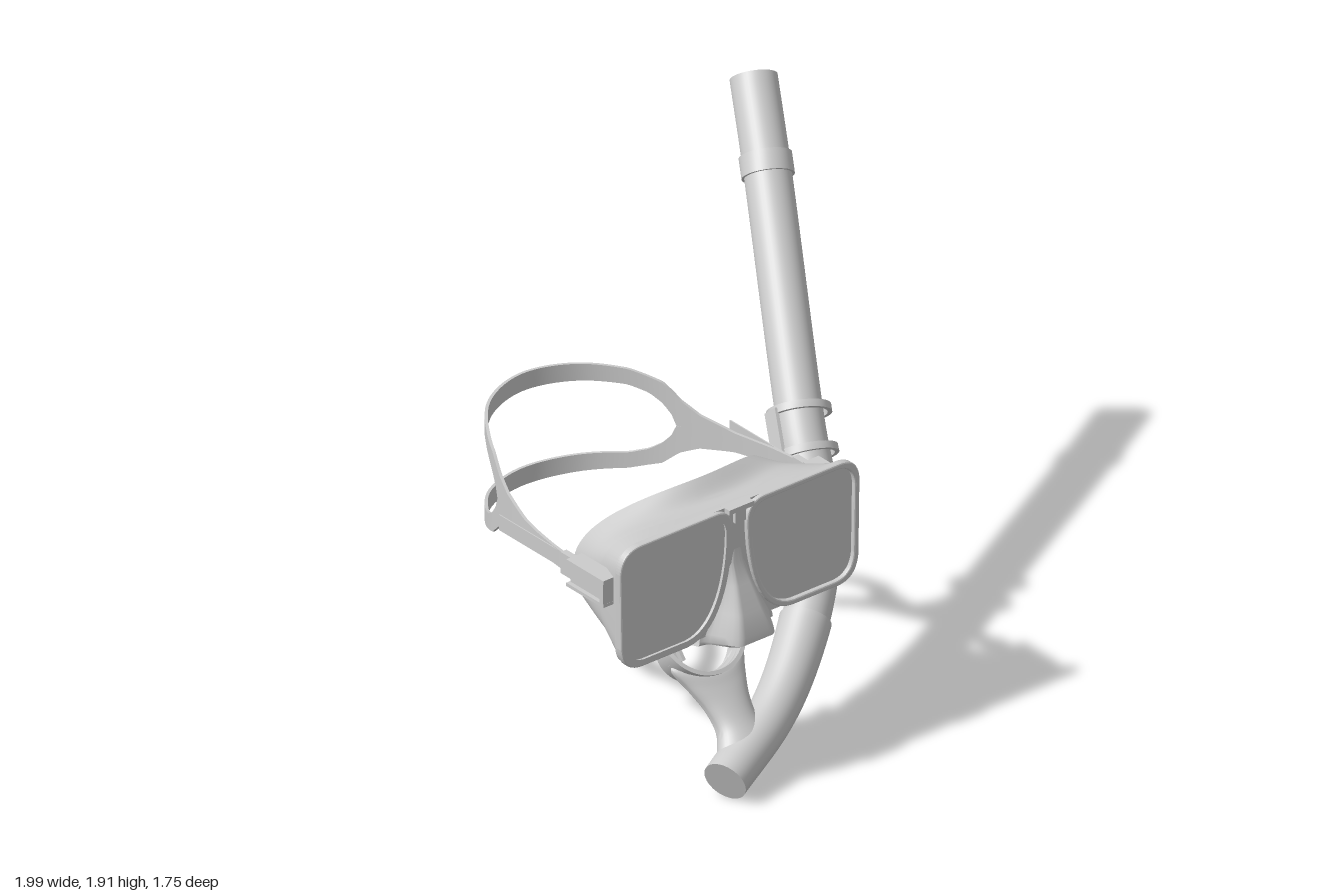
import * as THREE from 'three';
import { toCreasedNormals } from 'three/addons/utils/BufferGeometryUtils.js';

const V = (x, y, z) => new THREE.Vector3(x, y, z);
const material = new THREE.MeshStandardMaterial({ color: 0xcccccc, side: THREE.DoubleSide });

function add(parent, name, geometry, x = 0, y = 0, z = 0) {
  const mesh = new THREE.Mesh(geometry, material);
  mesh.name = name;
  mesh.position.set(x, y, z);
  parent.add(mesh);
  return mesh;
}

// Skin over a list of cross-sections (arrays of Vector3); closed joins each section's ends
function loft(rings, closed = true, crease = 0.6) {
  const n = rings[0].length, pos = [], index = [];
  rings.forEach(r => r.forEach(p => pos.push(p.x, p.y, p.z)));
  for (let j = 0; j < rings.length - 1; j++)
    for (let i = 0; i < (closed ? n : n - 1); i++) {
      const a = j * n + i, b = j * n + (i + 1) % n;
      index.push(a, b, b + n, a, b + n, a + n);
    }
  const g = new THREE.BufferGeometry();
  g.setAttribute('position', new THREE.Float32BufferAttribute(pos, 3));
  g.setIndex(index);
  return toCreasedNormals(g, crease);
}

// Smooth in-between cross-sections
function refine(rings, steps) {
  const columns = rings[0].map((_, i) => new THREE.CatmullRomCurve3(rings.map(r => r[i])).getPoints(steps));
  return columns[0].map((_, j) => columns.map(c => c[j]));
}

const fill = p => rings => [rings[0].map(() => p), ...rings];

// Value of a piecewise linear table [[x, y], ...] with x ascending
function table(rows, x) {
  if (x <= rows[0][0]) return rows[0][1];
  for (let i = 1; i < rows.length; i++) {
    const [x0, y0] = rows[i - 1], [x1, y1] = rows[i];
    if (x <= x1) return y0 + (y1 - y0) * (x - x0) / (x1 - x0);
  }
  return rows[rows.length - 1][1];
}

// Superellipse mask section; z bends from the middle to the sides
function maskSection(hw, y0, y1, zMid, zSide, e) {
  const pow = v => Math.sign(v) * Math.abs(v) ** (2 / e);
  return Array.from({ length: 112 }, (_, i) => {
    const a = i / 112 * Math.PI * 2, u = pow(Math.cos(a));
    return V(hw * u, (y0 + y1) / 2 + (y1 - y0) / 2 * pow(Math.sin(a)), zMid + (zSide - zMid) * u * u);
  });
}

// Lens outline, scaled by k about its centre, on either side
function lensPoints(side, k) {
  const s = new THREE.Shape();
  s.moveTo(0.25, 0.647).lineTo(0.47, 0.647);
  s.quadraticCurveTo(0.56, 0.65, 0.57, 0.75).lineTo(0.575, 1.07);
  s.quadraticCurveTo(0.57, 1.16, 0.48, 1.165).lineTo(0.11, 1.165);
  s.quadraticCurveTo(0.03, 1.16, 0.035, 1.06);
  s.bezierCurveTo(0.04, 0.86, 0.1, 0.655, 0.25, 0.647);
  return s.getPoints(14).map(p => new THREE.Vector2(side * (0.305 + (p.x - 0.305) * k), 0.907 + (p.y - 0.907) * k));
}

const extrude = (shape, depth, bevel = 0) => new THREE.ExtrudeGeometry(shape, {
  depth, bevelEnabled: bevel > 0, bevelSize: bevel, bevelThickness: bevel, bevelOffset: -bevel, bevelSegments: 2 });

function buildMask() {
  const mask = new THREE.Group();
  mask.name = 'mask';

  // Frame body, flared face skirt and its inner wall
  const front = maskSection(0.57, 0.65, 1.165, 0.67, 0.665, 8);
  const seam = maskSection(0.515, 0.655, 1.145, 0.61, 0.5, 4.5);
  add(mask, 'frameBody', loft([front, seam]));
  const rim = maskSection(0.457, 0.565, 1.2, 0.48, 0.27, 2.2);
  add(mask, 'skirt', loft(refine([seam, maskSection(0.492, 0.63, 1.148, 0.55, 0.4, 3.2), rim], 12)));
  add(mask, 'innerSkirt', loft(refine([rim, maskSection(0.405, 0.635, 1.12, 0.49, 0.33, 2.4),
    maskSection(0.44, 0.655, 1.125, 0.55, 0.45, 3), maskSection(0.54, 0.665, 1.15, 0.655, 0.655, 6)], 16)));

  // Front plate with openings for lenses and nose
  const plate = new THREE.Shape(front.map(p => new THREE.Vector2(p.x, p.y)));
  for (const s of [-1, 1]) plate.holes.push(new THREE.Path(lensPoints(s, 0.9)));
  plate.holes.push(new THREE.Path([[0.02, 0.94], [0.045, 0.84], [0.1, 0.68], [-0.1, 0.68], [-0.045, 0.84], [-0.02, 0.94]]
    .map(p => new THREE.Vector2(...p))));
  add(mask, 'frontPlate', extrude(plate, 0.02), 0, 0, 0.65);

  for (const s of [-1, 1]) {
    const ring = new THREE.Shape(lensPoints(s, 1));
    ring.holes.push(new THREE.Path(lensPoints(s, 0.91)));
    add(mask, 'lensFrame', extrude(ring, 0.02, 0.006), 0, 0, 0.662);
    add(mask, 'lens', extrude(new THREE.Shape(lensPoints(s, 0.92)), 0.008), 0, 0, 0.662);
  }

  // Nose pocket: rows of [y, half width, projection]
  const rows = [[1.0, 0.03, 0.006], [0.92, 0.045, 0.012], [0.84, 0.075, 0.05], [0.74, 0.12, 0.095],
    [0.66, 0.165, 0.125], [0.632, 0.175, 0.128], [0.622, 0.175, 0.11], [0.615, 0.18, 0.03], [0.6, 0.2, -0.1]];
  add(mask, 'nosePocket', loft(rows.map(([y, w, d]) => Array.from({ length: 25 }, (_, i) => {
    const u = i / 12 - 1;
    return V(u * w, y, 0.662 + d * (d < 0 ? 1 : 1 - THREE.MathUtils.smoothstep(Math.abs(u), 0.4, 1)));
  })), false, 0.8));

  // Clip on the top bridge
  add(mask, 'bridgeClip', new THREE.BoxGeometry(0.12, 0.02, 0.05), 0, 1.155, 0.672);
  add(mask, 'bridgeTab', new THREE.BoxGeometry(0.05, 0.06, 0.015), 0, 1.125, 0.684);

  // Buckles, sliders and loose strap tails
  for (const s of [-1, 1]) {
    const buckle = new THREE.Group();
    buckle.name = 'buckle';
    mask.add(buckle);
    add(buckle, 'buckleBase', new THREE.BoxGeometry(0.06, 0.09, 0.21), s * 0.558, 0.975, 0.518);
    for (const y of [0.925, 1.025])
      add(buckle, 'buckleRail', new THREE.BoxGeometry(0.075, 0.014, 0.215), s * 0.568, y, 0.518);
    add(buckle, 'buckleEnd', new THREE.BoxGeometry(0.075, 0.1, 0.02), s * 0.568, 0.975, 0.615);
    add(buckle, 'slider', new THREE.BoxGeometry(0.028, 0.09, 0.07), s * 0.556, 0.972, 0.37);
    add(buckle, 'strapTail', new THREE.BoxGeometry(0.005, 0.065, 0.44), s * 0.553, 0.972, 0.18);
  }

  // Head strap: one band at each side that splits into two behind the head
  const half = [[0.56, 0.4], [0.535, 0.2], [0.475, -0.05], [0.37, -0.32], [0.21, -0.51]];
  const path = new THREE.CatmullRomCurve3([...half.map(([x, z]) => V(-x, 0, z)), V(0, 0, -0.58),
    ...half.reverse().map(([x, z]) => V(x, 0, z))]);
  const outer = [[-0.59, 0.24], [-0.37, 0.21], [-0.25, 0.17], [-0.18, 0.11], [-0.1, 0.07], [0.05, 0.04], [0.15, 0.036]];
  const inner = [[-0.59, 0.165], [-0.37, 0.145], [-0.3, 0.12], [-0.25, 0.085], [-0.215, 0.045], [-0.195, 0]];
  const middle = [[-0.6, 0.928], [-0.2, 0.96], [0.2, 0.972]];
  for (const s of [1, -1]) {
    const sections = Array.from({ length: 121 }, (_, i) => {
      const p = path.getPointAt(i / 120), t = path.getTangentAt(i / 120);
      const side = V(t.z, 0, -t.x).normalize().multiplyScalar(0.006);
      const y = table(middle, p.z), lo = y + s * table(inner, p.z), hi = y + s * table(outer, p.z);
      return [[1, lo], [1, hi], [-1, hi], [-1, lo]].map(([k, h]) => V(p.x + k * side.x, h, p.z + k * side.z));
    });
    add(mask, s > 0 ? 'upperStrap' : 'lowerStrap', loft(sections));
  }
  return mask;
}

function buildSnorkel() {
  const snorkel = new THREE.Group();
  snorkel.name = 'snorkel';
  const curve = new THREE.CatmullRomCurve3([V(-0.547, 0.09, 0.79), V(-0.23, 0.2, 0.67), V(-0.02, 0.33, 0.56),
    V(0.22, 0.53, 0.383), V(0.355, 0.715, 0.217), V(0.435, 0.905, 0.047), V(0.793, 1.62, -0.59), V(0.91, 1.855, -0.807)]);
  const N = 200, frames = curve.computeFrenetFrames(N);

  // Sweep a [position, radius] profile along the tube's path
  function sweep(profile) {
    const rings = [];
    profile.forEach(([t1, r1], k) => {
      const [t0, r0] = profile[Math.max(k - 1, 0)], steps = Math.max(1, Math.ceil(Math.abs(t1 - t0) * 70));
      for (let j = 1; j <= steps; j++) {
        const t = t0 + (t1 - t0) * j / steps, r = r0 + (r1 - r0) * j / steps;
        const c = curve.getPointAt(t), f = Math.round(t * N);
        rings.push(Array.from({ length: 40 }, (_, i) => {
          const a = i / 40 * Math.PI * 2;
          return c.clone().addScaledVector(frames.normals[f], r * Math.cos(a)).addScaledVector(frames.binormals[f], r * Math.sin(a));
        }));
      }
    });
    return loft(rings);
  }
  add(snorkel, 'lowerTube', sweep([[0, 0], [0, 0.087], [0.12, 0.09], [0.27, 0.099], [0.27, 0.088]]));
  add(snorkel, 'upperTube', sweep([[0.26, 0.09], [1, 0.09], [1, 0.076], [0.5, 0.076], [0.5, 0]]));
  add(snorkel, 'topBand', sweep([[0.867, 0.09], [0.867, 0.1], [0.895, 0.1], [0.895, 0.09]]));

  // Keeper: two loops around the tube joined by a bridge
  const loops = [0.497, 0.553];
  for (const t of loops)
    add(snorkel, 'keeperLoop', sweep([[t - 0.005, 0.105], [t - 0.005, 0.122], [t + 0.005, 0.122], [t + 0.005, 0.105], [t - 0.005, 0.105]]));
  const centre = curve.getPointAt(0.525), along = curve.getTangentAt(0.525);
  const out = V(-1, 0, 0).addScaledVector(along, along.x).normalize();
  const bridge = add(snorkel, 'keeperBridge', new THREE.BoxGeometry(0.014, 0.175, 0.08));
  bridge.position.copy(centre).addScaledVector(out, 0.117);
  bridge.quaternion.setFromRotationMatrix(new THREE.Matrix4().makeBasis(out, along, out.clone().cross(along)));

  // Mouthpiece: stem, curved lip shield and bite tabs, tilted towards the wearer
  const mouth = new THREE.Group();
  mouth.name = 'mouthpiece';
  mouth.position.set(-0.39, 0.16, 0.72);
  mouth.rotation.x = -0.7;
  snorkel.add(mouth);
  const oval = (y, rx, rz, bow) => Array.from({ length: 40 }, (_, i) => {
    const a = i / 40 * Math.PI * 2, x = Math.cos(a);
    return V(rx * x, y + bow * x * x, rz * Math.sin(a));
  });
  const stem = refine([oval(0, 0.13, 0.075, 0), oval(0.08, 0.093, 0.062, 0), oval(0.16, 0.1, 0.055, 0.01),
    oval(0.23, 0.135, 0.05, 0.04), oval(0.285, 0.168, 0.046, 0.07), oval(0.295, 0.155, 0.036, 0.075),
    oval(0.24, 0.11, 0.03, 0.05)], 30);
  add(mouth, 'stem', loft(fill(V(0, 0.2, 0))(stem.slice().reverse())));
  const shield = Array.from({ length: 33 }, (_, i) => {
    const a = (i / 16 - 1) * 1.75, end = Math.abs(i / 16 - 1);
    const h = 0.058 - 0.03 * end ** 4;
    return [[0.178, -h], [0.178, h], [0.16, h], [0.16, -h]].map(([r, z]) =>
      V(r * Math.sin(a), 0.43 - r * 0.88 * Math.cos(a), z));
  });
  add(mouth, 'lipShield', loft(shield));
  for (const s of [-1, 1]) {
    add(mouth, 'biteArm', new THREE.BoxGeometry(0.05, 0.06, 0.014), s * 0.142, 0.405, 0);
    add(mouth, 'biteTab', new THREE.BoxGeometry(0.014, 0.065, 0.06), s * 0.115, 0.405, 0);
  }
  return snorkel;
}

export function createModel() {
  const model = new THREE.Group();
  model.name = 'maskAndSnorkel';
  const mask = buildMask();
  mask.position.x = -0.39;
  model.add(mask, buildSnorkel());
  return model;
}
